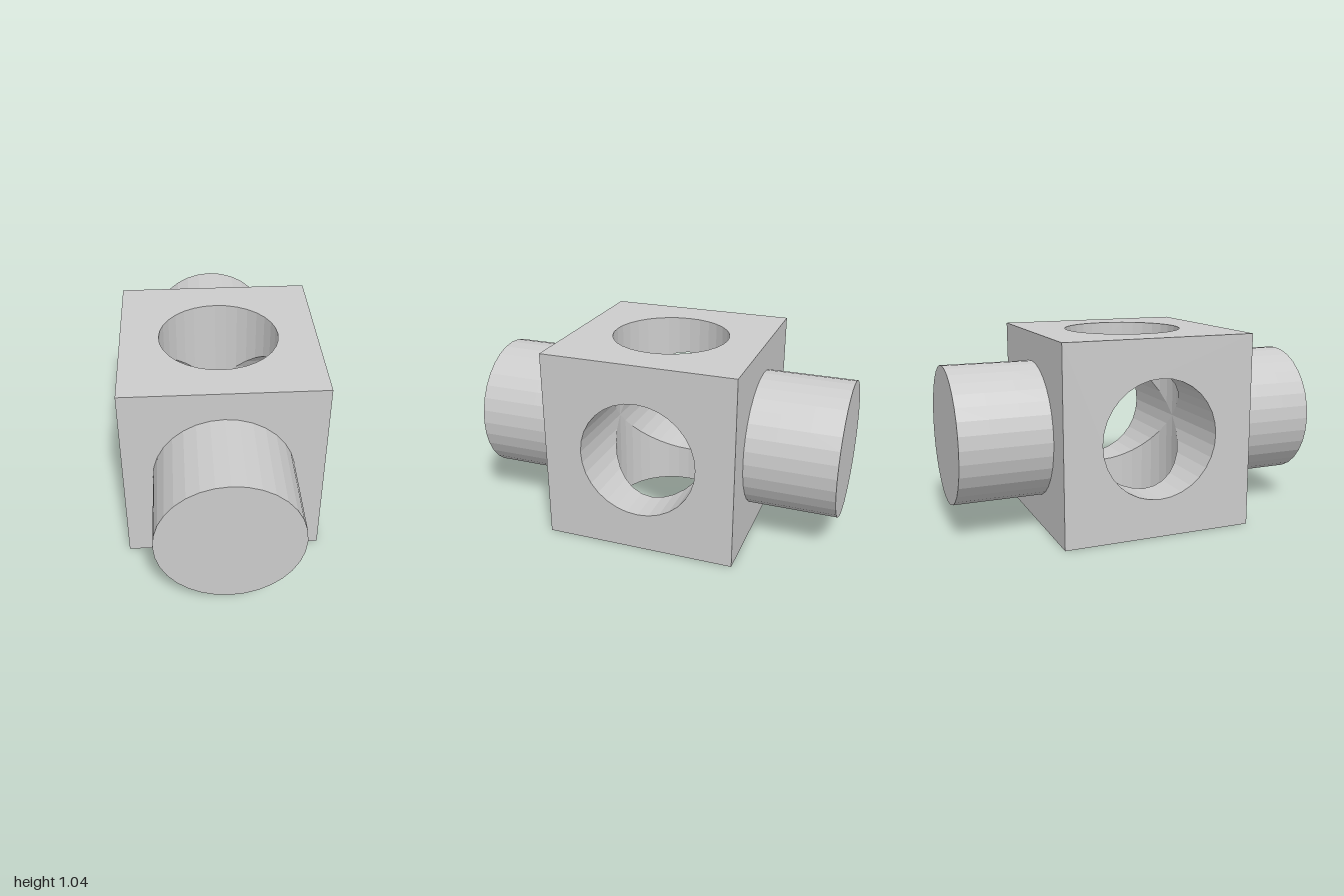
import * as THREE from 'three';

const HALF = 0.522;      // half the cube's side
const BORE = 0.317;      // radius of the crossing holes
const PEG = 0.367;       // radius of the solid end pegs
const SIDES = 32;

export function createModel() {
  const model = new THREE.Group();
  const body = new THREE.Group();
  body.position.y = HALF + 0.004;
  model.add(body);
  const material = new THREE.MeshStandardMaterial({ color: 0xcccccc, flatShading: true });

  const add = (name, geometry, parent = body) => {
    const mesh = new THREE.Mesh(geometry, material);
    mesh.name = name;
    parent.add(mesh);
    return mesh;
  };

  // Square face with a round opening, facing +y
  const outline = new THREE.Shape();
  outline.moveTo(-HALF, -HALF).lineTo(HALF, -HALF).lineTo(HALF, HALF).lineTo(-HALF, HALF).closePath();
  outline.holes.push(new THREE.Path().absarc(0, 0, BORE, 0, Math.PI * 2, true));
  const pierced = new THREE.ShapeGeometry(outline, SIDES / 2);
  pierced.rotateX(-Math.PI / 2).translate(0, HALF, 0);

  // Bore wall from the opening down to the mitre where the two holes cross
  const wall = new THREE.CylinderGeometry(BORE, BORE, 1, SIDES, 3, true);
  const p = wall.attributes.position;
  for (let i = 0; i < p.count; i++) {
    const mitre = Math.abs(p.getX(i));
    p.setY(i, THREE.MathUtils.lerp(mitre, HALF, p.getY(i) + 0.5));
  }
  wall.scale(-1, 1, 1);   // turn the wall inside out
  wall.computeVertexNormals();

  // Four pierced sides around the z axis
  ['top', 'left', 'bottom', 'right'].forEach((side, i) => {
    const group = new THREE.Group();
    group.name = side + 'Side';
    group.rotation.z = -i * Math.PI / 2;
    add(side + 'Face', pierced, group);
    add(side + 'Bore', wall, group);
    body.add(group);
  });

  // Solid front and back faces, each with a peg
  const plate = new THREE.PlaneGeometry(HALF * 2, HALF * 2).translate(0, 0, HALF);
  const length = 1 - HALF;
  const peg = new THREE.CylinderGeometry(PEG, PEG, length, SIDES, 3);
  peg.rotateX(Math.PI / 2).translate(0, 0, HALF + length / 2);
  ['front', 'back'].forEach((end, i) => {
    const group = new THREE.Group();
    group.name = end + 'End';
    group.rotation.y = i * Math.PI;
    add(end + 'Face', plate, group);
    add(end + 'Peg', peg, group);
    body.add(group);
  });

  return model;
}
